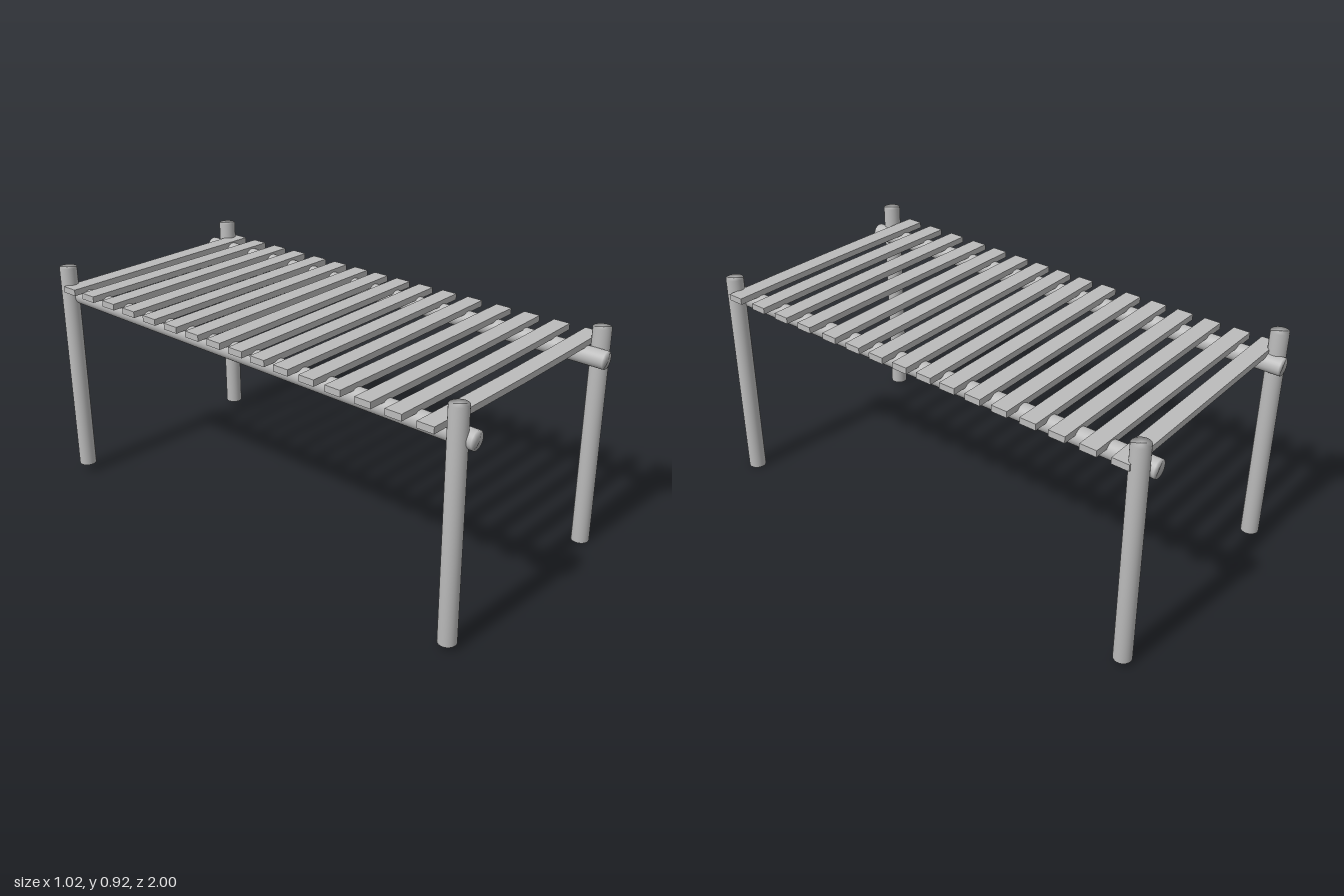
import * as THREE from 'three';

const RADIUS = 0.035;
const lerp = THREE.MathUtils.lerp;

export function createModel() {
  const model = new THREE.Group();
  model.name = 'slattedTable';
  const grey = new THREE.MeshStandardMaterial({ color: 0xbbbbbb });
  grey.name = 'plain grey';
  const greyFlat = grey.clone();
  greyFlat.name = 'plain grey';
  greyFlat.flatShading = true;

  // Round pole from a to b, its normals blended softly over the end caps
  function pole(name, a, b) {
    const start = new THREE.Vector3(...a);
    const dir = new THREE.Vector3(...b).sub(start);
    const length = dir.length();
    const profile = [[0, 0], [RADIUS, 0], [RADIUS, length], [0, length]]
      .map(([r, y]) => new THREE.Vector2(r, y));
    const mesh = new THREE.Mesh(new THREE.LatheGeometry(profile, 32), grey);
    mesh.name = name;
    mesh.position.copy(start);
    mesh.quaternion.setFromUnitVectors(new THREE.Vector3(0, 1, 0), dir.normalize());
    model.add(mesh);
  }

  // Four legs, standing on a slightly tilted plane
  pole('frontLeftLeg', [0.453, 0, 0.952], [0.453, 0.89, 0.947]);
  pole('frontRightLeg', [-0.445, 0.02, 0.952], [-0.446, 0.908, 0.947]);
  pole('backLeftLeg', [0.453, 0.018, -0.951], [0.453, 0.906, -0.957]);
  pole('backRightLeg', [-0.445, 0.036, -0.951], [-0.446, 0.923, -0.957]);

  // Two long rails under the slats
  pole('leftRail', [0.405, 0.788, 1], [0.405, 0.802, -1]);
  pole('rightRail', [-0.416, 0.787, 1], [-0.416, 0.803, -1]);

  // Slats: z of the -x end and the +x end, back to front
  const slats = [
    [-0.905, -0.912], [-0.79, -0.79], [-0.667, -0.667], [-0.548, -0.55],
    [-0.43, -0.43], [-0.312, -0.314], [-0.197, -0.2], [-0.085, -0.092],
    [0.026, 0.021], [0.137, 0.135], [0.25, 0.25], [0.37, 0.37],
    [0.488, 0.503], [0.618, 0.627], [0.745, 0.755], [0.873, 0.886],
  ];
  slats.forEach(([zRight, zLeft], i) => {
    const f = i / (slats.length - 1);
    const flare = Math.max(0, (f - 0.5) * 2);
    const xRight = -0.489 - 0.026 * flare;
    const xLeft = 0.493 + 0.015 * flare;
    const yRight = lerp(0.842, 0.828, f);
    const yLeft = lerp(0.828, 0.834, f);
    const geo = new THREE.BoxGeometry(1, 0.025, 0.067, 4, 1, 1);
    const p = geo.attributes.position;
    // Skew each board between its two ends, with a faint bow in the middle
    for (let k = 0; k < p.count; k++) {
      const t = p.getX(k) + 0.5;
      const bow = 0.006 * flare * Math.sin(Math.PI * t);
      p.setXYZ(k, lerp(xRight, xLeft, t),
        p.getY(k) + lerp(yRight, yLeft, t),
        p.getZ(k) + lerp(zRight, zLeft, t) + bow);
    }
    geo.computeVertexNormals();
    const mesh = new THREE.Mesh(geo, greyFlat);
    mesh.name = 'slat' + (i + 1);
    model.add(mesh);
  });

  return model;
}
